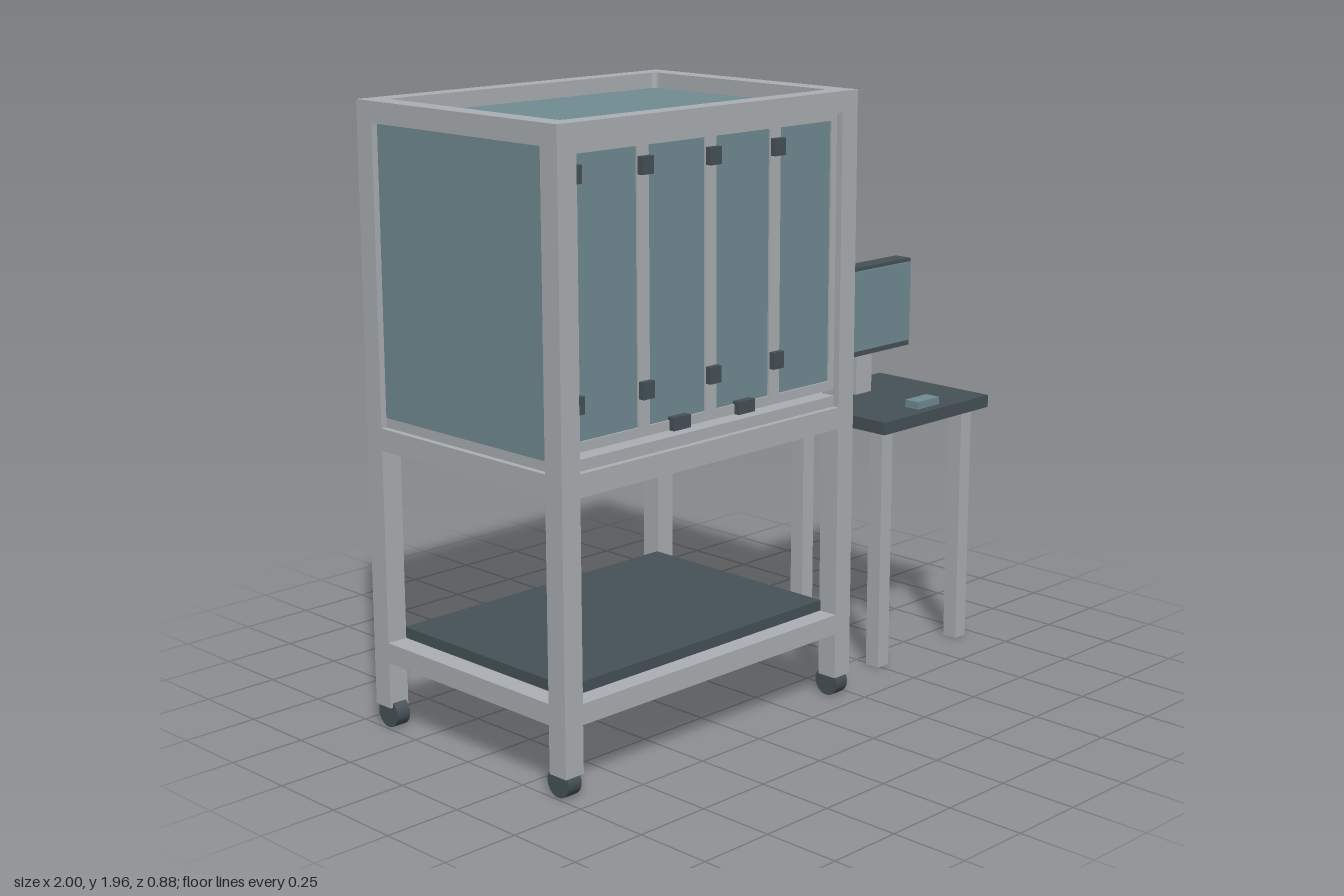
import * as THREE from 'three';

const mat = (name, color) => {
  const m = new THREE.MeshStandardMaterial({ color });
  m.name = name;
  return m;
};

export function createModel() {
  const steel = mat('pale grey', 0xacb0b4);
  const glass = mat('blue grey glass', 0x718c93);
  const dark = mat('dark slate', 0x465257);
  const root = new THREE.Group();
  const cabinet = new THREE.Group();
  cabinet.name = 'cabinet';
  const desk = new THREE.Group();
  desk.name = 'desk';
  root.add(cabinet, desk);

  const add = (parent, name, geometry, material) => {
    const m = new THREE.Mesh(geometry, material);
    m.name = name;
    parent.add(m);
    return m;
  };
  // Box given by its limits on each axis
  const box = (parent, name, material, [x0, x1], [y0, y1], [z0, z1]) =>
    add(parent, name, new THREE.BoxGeometry(x1 - x0, y1 - y0, z1 - z0), material)
      .position.set((x0 + x1) / 2, (y0 + y1) / 2, (z0 + z1) / 2);
  const rect = (Type, x0, x1, y0, y1) => new Type([
    [x0, y0], [x1, y0], [x1, y1], [x0, y1]].map(p => new THREE.Vector2(...p)));

  const X0 = -1, X1 = 0.24, Z = 0.44, W = 0.07;
  const innerX = [X0 + W, X1 - W], innerZ = [-Z + W, Z - W];
  const postsX = [[X0, X0 + W], [X1 - W, X1]], postsZ = [[-Z, -Z + W], [Z - W, Z]];

  // Corner posts and casters
  for (const px of postsX) for (const pz of postsZ) {
    box(cabinet, 'post', steel, px, [0.07, 1.895], pz);
    const wheel = new THREE.CylinderGeometry(0.046, 0.046, 0.05, 24).rotateZ(Math.PI / 2);
    add(cabinet, 'caster', wheel, dark)
      .position.set((px[0] + px[1]) / 2, 0.046, Math.sign(pz[0]) * 0.395);
  }
  // Lower and middle rails
  for (const y of [[0.22, 0.285], [0.9, 0.97]]) {
    for (const pz of postsZ) box(cabinet, 'longRail', steel, innerX, y, pz);
    for (const px of postsX) box(cabinet, 'sideRail', steel, px, y, innerZ);
  }
  box(cabinet, 'shelf', dark, innerX, [0.285, 0.32], [-0.375, 0.375]);
  box(cabinet, 'shelfUnderside', dark, innerX, [0.27, 0.285], innerZ);
  box(cabinet, 'floor', steel, innerX, [0.97, 1.005], [-0.42, 0.42]);
  box(cabinet, 'floorSideLip', steel, [X0 + 0.02, X1 - 0.02], [0.97, 1.0], innerZ);

  // Top frame with a rounded opening
  const frame = rect(THREE.Shape, X0, X1, -Z, Z);
  const hole = new THREE.Path(), [hx0, hx1] = innerX, hz = 0.375, r = 0.02;
  hole.moveTo(hx0 + r, -hz);
  hole.lineTo(hx1 - r, -hz).quadraticCurveTo(hx1, -hz, hx1, -hz + r);
  hole.lineTo(hx1, hz - r).quadraticCurveTo(hx1, hz, hx1 - r, hz);
  hole.lineTo(hx0 + r, hz).quadraticCurveTo(hx0, hz, hx0, hz - r);
  hole.lineTo(hx0, -hz + r).quadraticCurveTo(hx0, -hz, hx0 + r, -hz);
  frame.holes.push(hole);
  const topGeo = new THREE.ExtrudeGeometry(frame, { depth: 0.065, bevelEnabled: false, curveSegments: 6 });
  add(cabinet, 'topFrame', topGeo.rotateX(-Math.PI / 2), steel).position.y = 1.895;

  // Glazed panels
  const wallY = [1.0, 1.895];
  box(cabinet, 'topPanel', glass, [-0.96, 0.2], [1.89, 1.91], [-0.4, 0.4]);
  box(cabinet, 'backPanel', glass, innerX, wallY, [-0.42, -0.4]);
  box(cabinet, 'leftPanel', glass, [0.2, 0.22], wallY, innerZ);
  box(cabinet, 'rightPanel', glass, [-0.98, -0.96], wallY, innerZ);

  // Door front: one frame with four windows
  const doors = rect(THREE.Shape, ...innerX, 1.025, 1.892);
  const pitch = 0.275;
  for (let i = 0; i < 4; i++) {
    const x = innerX[0] + i * pitch, a = x + 0.022, b = x + pitch - 0.024;
    doors.holes.push(rect(THREE.Path, a, b, 1.055, 1.87));
    box(cabinet, 'doorGlass', glass, [a, b], [1.055, 1.87], [0.404, 0.412]);
    for (const y of [1.815, 1.165])
      box(cabinet, 'hinge', dark, [x - 0.022, x + 0.024], [y - 0.026, y + 0.026], [0.41, 0.437]);
    if (i === 1 || i === 2)
      box(cabinet, 'doorHandle', dark, [x + 0.1, x + 0.17], [1.025, 1.065], [0.41, 0.437]);
  }
  add(cabinet, 'doorFrame', new THREE.ExtrudeGeometry(doors, { depth: 0.02, bevelEnabled: false }), steel)
    .position.z = 0.398;

  // Desk
  box(desk, 'deskTop', dark, [0.455, 1], [0.818, 0.86], [-0.088, 0.392]);
  for (const x of [0.49, 0.905]) for (const z of [-0.045, 0.3])
    box(desk, 'deskLeg', steel, [x, x + 0.053], [0, 0.818], [z, z + 0.053]);

  // Monitor and pointing pad
  box(desk, 'monitorStand', steel, [0.685, 0.765], [0.86, 1.135], [-0.008, 0.07]);
  box(desk, 'monitor', dark, [0.515, 0.935], [1.0, 1.305], [0.028, 0.092]);
  box(desk, 'screen', glass, [0.522, 0.928], [1.02, 1.293], [0.092, 0.1]);
  box(desk, 'pointingPad', glass, [0.67, 0.78], [0.86, 0.885], [0.3, 0.355]);

  return root;
}
